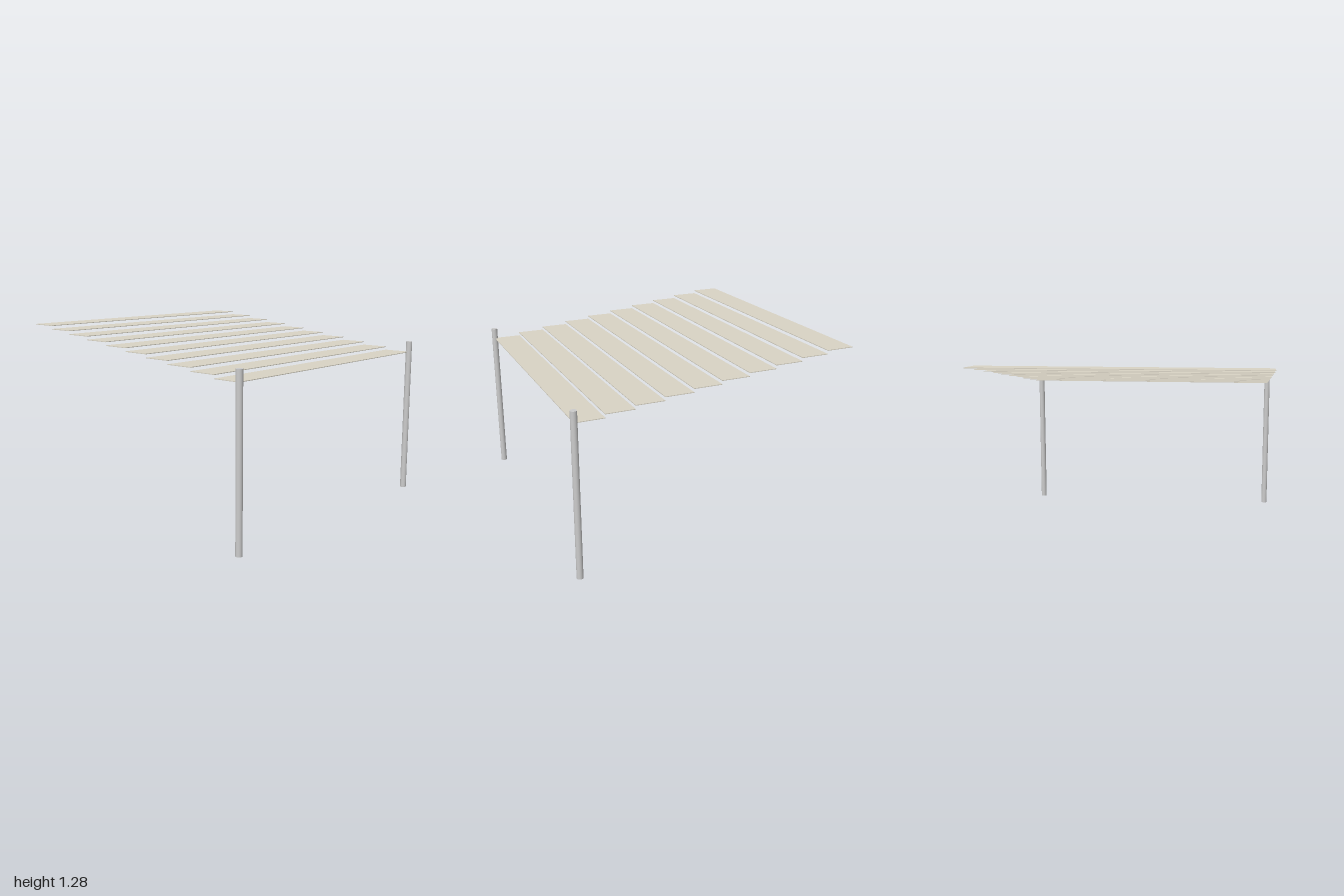
import * as THREE from 'three';

const HALF = 0.978;        // half the canopy width
const SLATS = 10;
const BACK_Z = -0.989;
const FRONT_Z = 0.967;
const POST_RADIUS = 0.022;
const POST_HEIGHT = 1.13;

export function createModel() {
  const model = new THREE.Group();
  model.name = 'steppedCanopy';
  const postMaterial = new THREE.MeshStandardMaterial({ color: 0xcccccc });
  const slatMaterial = new THREE.MeshStandardMaterial({ color: 0xd9d4c5 });

  // Two round posts at the front corners
  const postGeometry = new THREE.CylinderGeometry(POST_RADIUS, POST_RADIUS, POST_HEIGHT, 24);
  for (const [side, name] of [[1, 'leftPost'], [-1, 'rightPost']]) {
    const post = new THREE.Mesh(postGeometry, postMaterial);
    post.name = name;
    post.position.set(side * HALF, POST_HEIGHT / 2, FRONT_Z);
    model.add(post);
  }

  // Level roof slats, each one step higher towards the back
  const depth = (FRONT_Z - BACK_Z) / SLATS;
  const slatGeometry = new THREE.BoxGeometry(HALF * 2, 0.0045, depth);
  const roof = new THREE.Group();
  roof.name = 'roof';
  for (let i = 0; i < SLATS; i++) {
    const slat = new THREE.Mesh(slatGeometry, slatMaterial);
    slat.name = `roofSlat${i + 1}`;
    slat.position.set(0, 1.051 + i * 0.0247, FRONT_Z - depth * (i + 0.5));
    roof.add(slat);
  }
  model.add(roof);
  return model;
}
